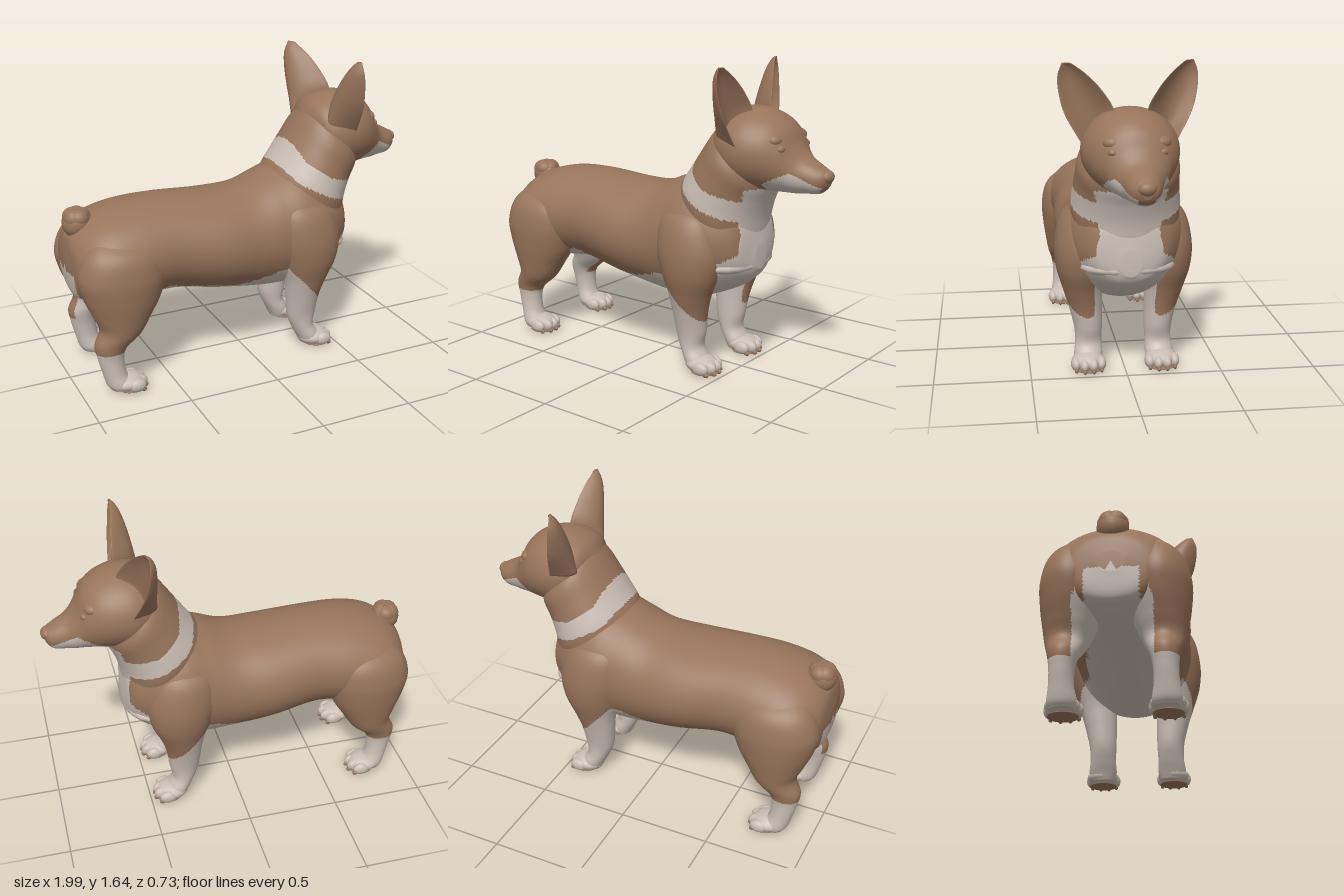
import * as THREE from 'three';

const brown = new THREE.MeshStandardMaterial({ color: 0x98745a });
brown.name = 'brown coat';
const cream = new THREE.MeshStandardMaterial({ color: 0xc9beb5 });
cream.name = 'cream coat';

const V = (x, y, z) => new THREE.Vector3(x, y, z);
const curve = (pts) => new THREE.CatmullRomCurve3(pts, false, 'catmullrom', 0.5);

// Piecewise-linear lookup through [x, y] pairs
function line(pairs, x) {
  if (x <= pairs[0][0]) return pairs[0][1];
  for (let i = 1; i < pairs.length; i++) {
    const [x0, y0] = pairs[i - 1], [x1, y1] = pairs[i];
    if (x <= x1) return y0 + (y1 - y0) * (x - x0) / (x1 - x0);
  }
  return pairs[pairs.length - 1][1];
}

// Closed skin from rings fn(t, angle); isCream(point) picks each face's colour
function skin(name, fn, rows, cols, isCream, mirrored = false) {
  const pts = [], sets = [[], []];
  for (let i = 0; i <= rows; i++)
    for (let j = 0; j < cols; j++) pts.push(fn(i / rows, (j / cols) * Math.PI * 2));
  const face = (a, b, c) => {
    const mid = V(0, 0, 0).add(pts[a]).add(pts[b]).add(pts[c]).divideScalar(3);
    const set = sets[isCream(mid) ? 1 : 0];
    if (mirrored) set.push(b, a, c);
    else set.push(a, b, c);
  };
  for (const end of [0, rows]) {
    const c = V(0, 0, 0);
    for (let j = 0; j < cols; j++) c.addScaledVector(pts[end * cols + j], 1 / cols);
    pts.push(c);
  }
  const first = pts.length - 2, last = pts.length - 1;
  for (let j = 0; j < cols; j++) {
    const k = (j + 1) % cols;
    for (let i = 0; i < rows; i++) {
      const a = i * cols + j, b = i * cols + k;
      face(a, b, a + cols);
      face(b, b + cols, a + cols);
    }
    face(first, k, j);
    face(last, rows * cols + j, rows * cols + k);
  }
  const g = new THREE.BufferGeometry().setFromPoints(pts);
  g.setIndex([...sets[0], ...sets[1]]);
  g.addGroup(0, sets[0].length, 0);
  g.addGroup(sets[0].length, sets[1].length, 1);
  g.computeVertexNormals();
  const mesh = new THREE.Mesh(g, [brown, cream]);
  mesh.name = name;
  return mesh;
}

// Loft through sections [edge x, y, opposite edge x, y, half width, centre z]
function loft(name, secs, isCream, side = 1) {
  const A = curve(secs.map((s) => V(s[0], s[1], (s[5] || 0) * side)));
  const B = curve(secs.map((s) => V(s[2], s[3], (s[5] || 0) * side)));
  const W = curve(secs.map((s) => V(s[4], 0, 0)));
  return skin(name, (t, q) => {
    const a = A.getPoint(t), b = B.getPoint(t), w = Math.max(W.getPoint(t).x, 0.002);
    const p = b.lerp(a, 0.5 + 0.5 * Math.cos(q));
    p.z += w * Math.sin(q);
    return p;
  }, (secs.length - 1) * 10, 72, isCream);
}

function ball(name, mat, x, y, z, rx, ry, rz) {
  const m = new THREE.Mesh(new THREE.SphereGeometry(1, 18, 12), mat);
  m.name = name;
  m.position.set(x, y, z);
  m.scale.set(rx, ry, rz);
  return m;
}

// Coat markings
const collarLow = [[0.18, 1.08], [0.21, 1.05], [0.25, 0.99], [0.4, 0.91], [0.6, 0.83]];
const collarTop = [[0.28, 1.18], [0.31, 1.09], [0.42, 1.01], [0.6, 0.95]];
const bellyTop = [[-0.58, 0.5], [-0.5, 0.54], [-0.4, 0.5], [-0.1, 0.46], [0, 0.48], [0.2, 0.54], [0.4, 0.5]];
const chestWidth = [[0.5, 0.17], [0.54, 0.24], [0.62, 0.26], [0.68, 0.17], [0.8, 0.15], [1, 0.18]];
const thighInner = [[0.5, 0.19], [0.7, 0.12], [0.71, 0]];
const collar = (p) => p.x > 0.17 && p.y > line(collarLow, p.x) && p.y < line(collarTop, p.x);
const chest = (p) => p.x > 0.4 && p.y < 1.02 && Math.abs(p.z) < line(chestWidth, p.y);
const belly = (p) => p.y < line(bellyTop, p.x);
const rump = (p) => p.x < -0.6 && p.y < 0.64 && Math.abs(p.z) < 0.13;
const bodyCream = (p) => collar(p) || chest(p) || belly(p) || rump(p);
const headCream = (p) => {
  const muzzle = p.x > 0.69 && p.y < 1.12 - Math.abs(p.x - 0.82) * 0.5;
  const chin = p.x > 0.945 && Math.abs(p.z + 0.025) < 0.04;
  const throat = p.x > 0.55 && p.y < 1.02 && Math.abs(p.z) < 0.14;
  return (muzzle && !chin) || throat;
};
const foreCream = (p) => collar(p) || p.y < 0.5 - (p.x - 0.2) * 1.1 || (Math.abs(p.z) < 0.16 && p.y < 0.5);
const hindCream = (p) => p.y < 0.24 || Math.abs(p.z) < line(thighInner, p.y);

// Paw with four toes, claws and a dark pad underneath
function paw(name, x, z) {
  const g = new THREE.Group();
  g.name = name;
  g.add(ball('pawBase', cream, x, 0.05, z, 0.09, 0.047, 0.085));
  g.add(ball('pad', brown, x + 0.02, 0.01, z, 0.075, 0.01, 0.075));
  [-0.066, -0.023, 0.023, 0.066].forEach((dz, i) => {
    const fx = x + (i % 3 ? 0.058 : 0.035);
    g.add(ball('toe', cream, fx, 0.043, z + dz, 0.048, 0.036, 0.027));
    g.add(ball('claw', brown, fx + 0.036, 0.016, z + dz, 0.016, 0.013, 0.01));
  });
  return g;
}

// Cupped upright ear, opening forward; swing turns its outer edge back
function ear(name, side, swing) {
  const inner = curve([[0.11, 1.29], [0.08, 1.4], [0.135, 1.5], [0.21, 1.58], [0.285, 1.635]].map(([z, y]) => V(0, y, z)));
  const outer = curve([[0.235, 1.24], [0.315, 1.38], [0.345, 1.48], [0.352, 1.57], [0.33, 1.637]].map(([z, y]) => V(0, y, z)));
  return skin(name, (t, q) => {
    const c = Math.cos(q);
    const p = inner.getPoint(t).lerp(outer.getPoint(t), 0.5 + 0.5 * c);
    const cup = 0.12 * Math.pow(1 - t, 0.7) * (1 - c * c);
    p.x = 0.6 - 0.035 * t - cup + Math.sin(q) * (0.028 * (1 - t) + 0.008);
    p.x -= swing * (p.z - 0.1);
    p.z *= side;
    return p;
  }, 32, 40, () => false, side < 0);
}

export function createModel() {
  const dog = new THREE.Group();
  dog.name = 'dog';

  dog.add(loft('torso', [
    [-0.992, 0.72, -0.992, 0.62, 0.06], [-0.97, 0.82, -0.965, 0.5, 0.2], [-0.9, 0.89, -0.9, 0.47, 0.285],
    [-0.8, 0.935, -0.8, 0.45, 0.325], [-0.65, 0.965, -0.65, 0.44, 0.325], [-0.45, 0.97, -0.45, 0.455, 0.31],
    [-0.2, 0.955, -0.2, 0.41, 0.33], [0, 0.965, 0, 0.375, 0.315], [0.15, 1.02, 0.15, 0.357, 0.315],
    [0.28, 1.06, 0.28, 0.365, 0.325], [0.4, 1.04, 0.4, 0.41, 0.305], [0.5, 0.98, 0.5, 0.46, 0.255],
    [0.575, 0.88, 0.575, 0.52, 0.18], [0.608, 0.7, 0.608, 0.57, 0.05]], bodyCream));
  dog.add(ball('breast', cream, 0.475, 0.595, 0, 0.135, 0.055, 0.245));

  dog.add(loft('neck', [
    [0.12, 0.95, 0.56, 0.58, 0.25], [0.18, 1.035, 0.59, 0.72, 0.28], [0.235, 1.11, 0.61, 0.84, 0.275],
    [0.29, 1.19, 0.64, 0.93, 0.265], [0.36, 1.29, 0.67, 0.99, 0.255], [0.43, 1.37, 0.69, 1.03, 0.21]], bodyCream));

  dog.add(loft('head', [
    [0.37, 1.3, 0.41, 1.1, 0.1], [0.42, 1.375, 0.46, 1.04, 0.2], [0.5, 1.415, 0.54, 1.0, 0.24],
    [0.6, 1.42, 0.62, 0.995, 0.24], [0.7, 1.39, 0.7, 1.0, 0.21, -0.005], [0.77, 1.335, 0.77, 1.0, 0.165, -0.01],
    [0.815, 1.25, 0.82, 1.0, 0.128, -0.015], [0.86, 1.195, 0.87, 1.005, 0.1, -0.02],
    [0.93, 1.155, 0.93, 1.01, 0.077, -0.022], [0.97, 1.13, 0.96, 1.03, 0.055, -0.025],
    [0.985, 1.1, 0.975, 1.05, 0.025, -0.025]], headCream));
  dog.add(ball('nose', brown, 0.965, 1.1, -0.025, 0.035, 0.034, 0.045));
  dog.add(ear('leftEar', 1, 0.06), ear('rightEar', -1, 0.42));

  for (const side of [1, -1]) {
    const label = side > 0 ? 'left' : 'right';
    dog.add(ball(label + 'Eye', brown, 0.775, 1.235, side * 0.118 - 0.01, 0.024, 0.02, 0.027));
    dog.add(ball(label + 'Brow', brown, 0.735, 1.275, side * 0.11 - 0.01, 0.045, 0.035, 0.055));

    dog.add(loft(label + 'FrontLeg', [
      [0.39, 0.93, 0.22, 0.93, 0.04, 0.17], [0.45, 0.83, 0.14, 0.84, 0.105, 0.215], [0.495, 0.68, 0.12, 0.7, 0.135, 0.225],
      [0.48, 0.55, 0.15, 0.56, 0.13, 0.225], [0.43, 0.43, 0.19, 0.43, 0.105, 0.215], [0.4, 0.33, 0.205, 0.32, 0.088, 0.2],
      [0.385, 0.22, 0.22, 0.2, 0.074, 0.187], [0.37, 0.14, 0.25, 0.12, 0.07, 0.187],
      [0.4, 0.08, 0.28, 0.06, 0.075, 0.19], [0.4, 0.03, 0.3, 0.02, 0.065, 0.19]], foreCream, side));
    dog.add(paw(label + 'FrontPaw', 0.375, side * 0.195));

    dog.add(loft(label + 'HindLeg', [
      [-0.63, 0.87, -0.84, 0.87, 0.04, 0.17], [-0.54, 0.77, -0.94, 0.78, 0.125, 0.205], [-0.515, 0.65, -0.985, 0.66, 0.158, 0.207],
      [-0.55, 0.52, -0.965, 0.55, 0.15, 0.21], [-0.61, 0.42, -0.92, 0.44, 0.125, 0.22], [-0.67, 0.33, -0.89, 0.36, 0.1, 0.23],
      [-0.75, 0.26, -0.922, 0.28, 0.073, 0.235], [-0.77, 0.2, -0.91, 0.2, 0.06, 0.238],
      [-0.765, 0.12, -0.89, 0.12, 0.06, 0.24], [-0.74, 0.06, -0.87, 0.05, 0.07, 0.24],
      [-0.75, 0.02, -0.85, 0.02, 0.06, 0.24]], hindCream, side));
    dog.add(paw(label + 'HindPaw', -0.76, side * 0.242));
  }

  // Docked tail with small tufts
  const tail = new THREE.Group();
  tail.name = 'tail';
  tail.add(ball('tailBall', brown, -0.912, 0.882, 0, 0.08, 0.08, 0.078));
  for (let i = 0; i < 5; i++) {
    const a = (i / 5) * Math.PI * 2;
    tail.add(ball('tuft', brown, -0.915 + 0.022 * Math.cos(a), 0.912, 0.026 * Math.sin(a), 0.052, 0.05, 0.052));
  }
  dog.add(tail);
  return dog;
}
